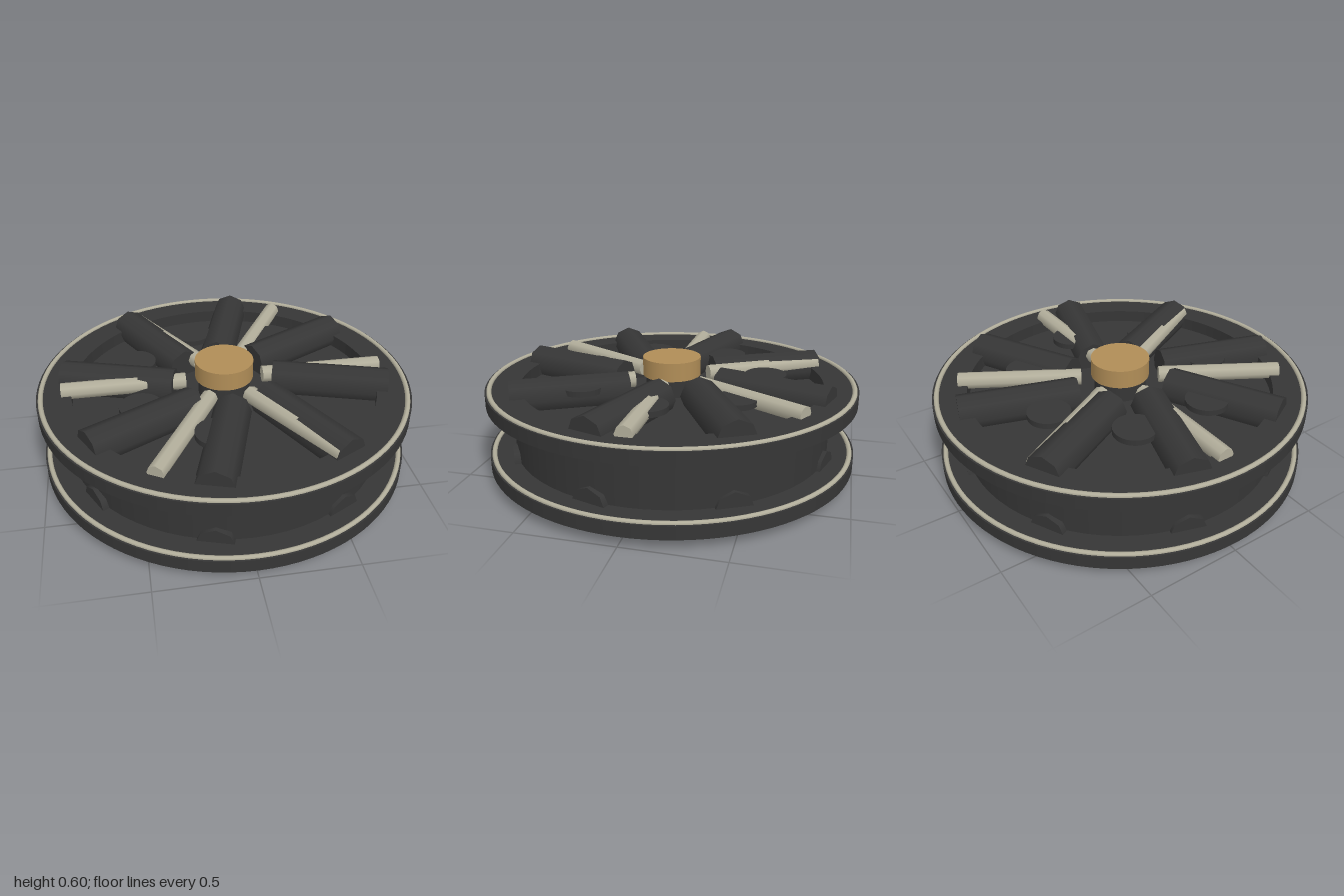
import * as THREE from 'three';

const material = (name, color) => {
  const m = new THREE.MeshStandardMaterial({ color });
  m.name = name;
  return m;
};

export function createModel() {
  const group = new THREE.Group();
  const dark = material('dark rubber', 0x363636);
  const pale = material('pale metal', 0xb2ae9b);
  const brass = material('brass', 0xb08d57);

  const add = (name, geometry, mat, x = 0, y = 0, z = 0) => {
    const mesh = new THREE.Mesh(geometry, mat);
    mesh.name = name;
    mesh.position.set(x, y, z);
    group.add(mesh);
    return mesh;
  };

  // bar lying along x, to be turned about y
  const bar = (radius, length, sides) =>
    new THREE.CylinderGeometry(radius, radius, length, sides).rotateZ(-Math.PI / 2);

  // flat ring standing on y = 0
  const ring = (outer, inner, height) => {
    const shape = new THREE.Shape().absarc(0, 0, outer, 0, Math.PI * 2);
    shape.holes.push(new THREE.Path().absarc(0, 0, inner, 0, Math.PI * 2, true));
    return new THREE.ExtrudeGeometry(shape, { depth: height, bevelEnabled: false, curveSegments: 48 })
      .rotateX(-Math.PI / 2);
  };

  // solid drum, its ends forming the recessed floors
  add('drum', new THREE.CylinderGeometry(0.86, 0.86, 0.28, 64), dark, 0, 0.265, 0);

  // flanges with pale edging
  const flange = ring(1, 0.82, 0.07);
  const edging = new THREE.TorusGeometry(0.978, 0.013, 8, 96).rotateX(Math.PI / 2);
  for (const y of [0.055, 0.405]) {
    add('flange', flange, dark, 0, y, 0);
    add('flangeEdging', edging, pale, 0, y + 0.07, 0);
  }

  // slanted dark spokes on both faces
  const spoke = bar(0.1, 0.62, 8);
  for (const y of [0.103, 0.455]) {
    for (let i = 0; i < 8; i++) {
      const a = (i * Math.PI) / 4;
      const t = a + 0.3;
      add('slantedSpoke', spoke,
        dark, 0.27 * Math.cos(a) + 0.31 * Math.cos(t), y, 0.27 * Math.sin(a) + 0.31 * Math.sin(t)
      ).rotation.y = -t;
    }
  }

  // radial pale rods on the upper face
  const rod = bar(0.045, 0.66, 8);
  for (let i = 0; i < 6; i++) {
    const a = (i * Math.PI) / 3;
    add('radialRod', rod, pale, 0.54 * Math.cos(a), 0.486, 0.54 * Math.sin(a)).rotation.y = -a;
  }

  // round pads between the spokes
  const pad = new THREE.CylinderGeometry(0.112, 0.112, 0.03, 32);
  for (let i = 0; i < 7; i++) {
    const a = (i * Math.PI * 2) / 7;
    add('pad', pad, dark, 0.515 * Math.cos(a), 0.488, 0.515 * Math.sin(a));
  }

  // hub and its cap
  add('hub', new THREE.CylinderGeometry(0.14, 0.14, 0.1, 32), dark, 0, 0.45, 0);
  add('hubCap', new THREE.CylinderGeometry(0.157, 0.157, 0.1, 40), brass, 0, 0.55, 0);

  return group;
}
